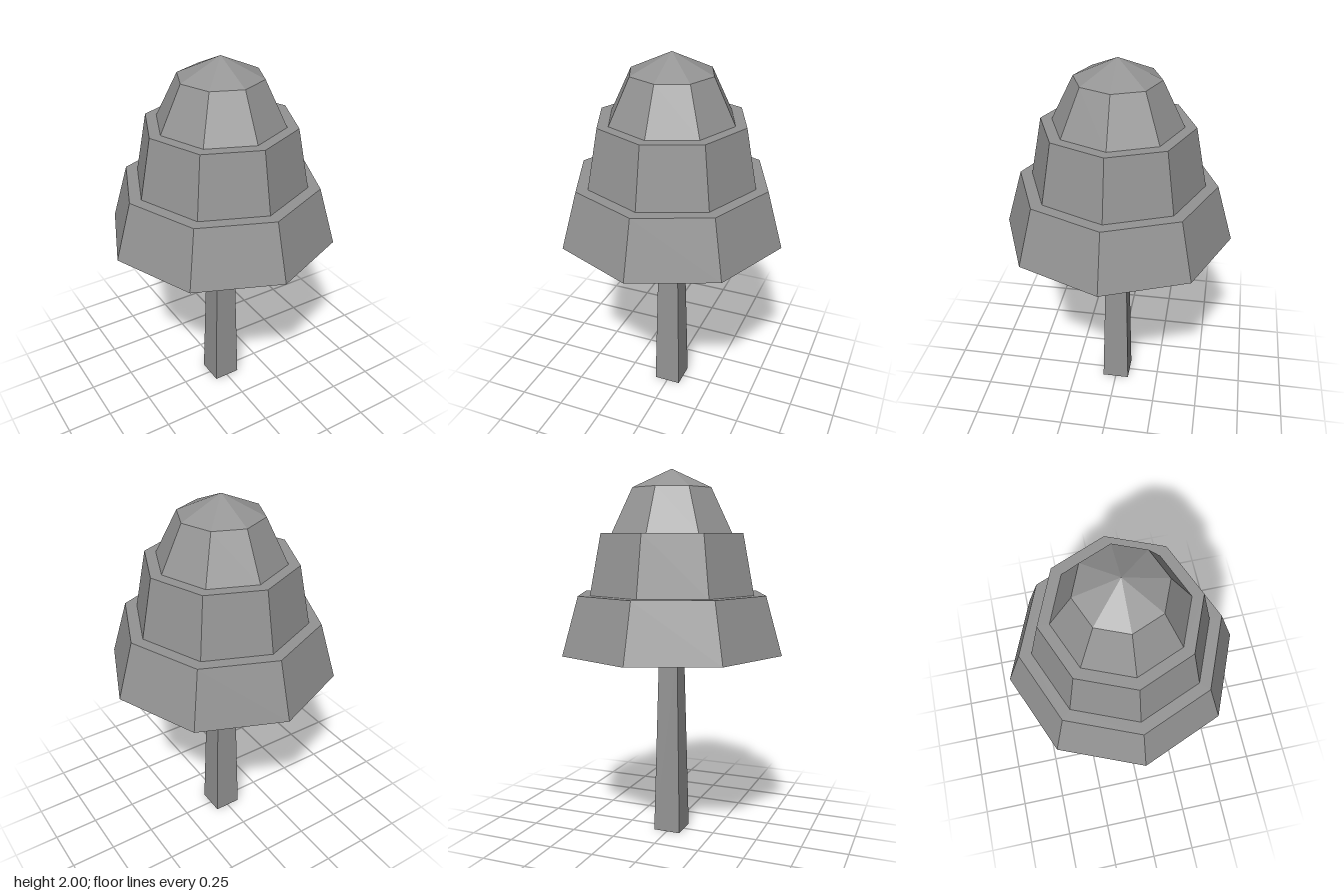
import * as THREE from 'three';

export function createModel() {
  const model = new THREE.Group();
  model.name = 'tree';
  const color = 0x949494;

  // Square, tapering trunk, open at the ends
  const trunkHeight = 1.03;
  const trunk = new THREE.Mesh(
    new THREE.CylinderGeometry(0.053 * Math.SQRT2, 0.076 * Math.SQRT2, trunkHeight, 4, 1, true, Math.PI / 4),
    new THREE.MeshStandardMaterial({ color, flatShading: true, side: THREE.DoubleSide })
  );
  trunk.name = 'trunk';
  trunk.position.y = trunkHeight / 2;
  model.add(trunk);

  // Eight-sided crown: three stepped tiers and a shallow peak
  const profile = [
    [0, 1.03], [0.618, 1.03], [0.528, 1.34], // lower tier
    [0.463, 1.34], [0.4, 1.661], // middle tier
    [0.34, 1.661], [0.223, 1.898], // upper tier
    [0, 2], // peak
  ].map(([r, y]) => new THREE.Vector2(r, y));
  const crown = new THREE.Mesh(
    new THREE.LatheGeometry(profile, 8),
    new THREE.MeshStandardMaterial({ color, flatShading: true })
  );
  crown.name = 'crown';
  model.add(crown);

  return model;
}
